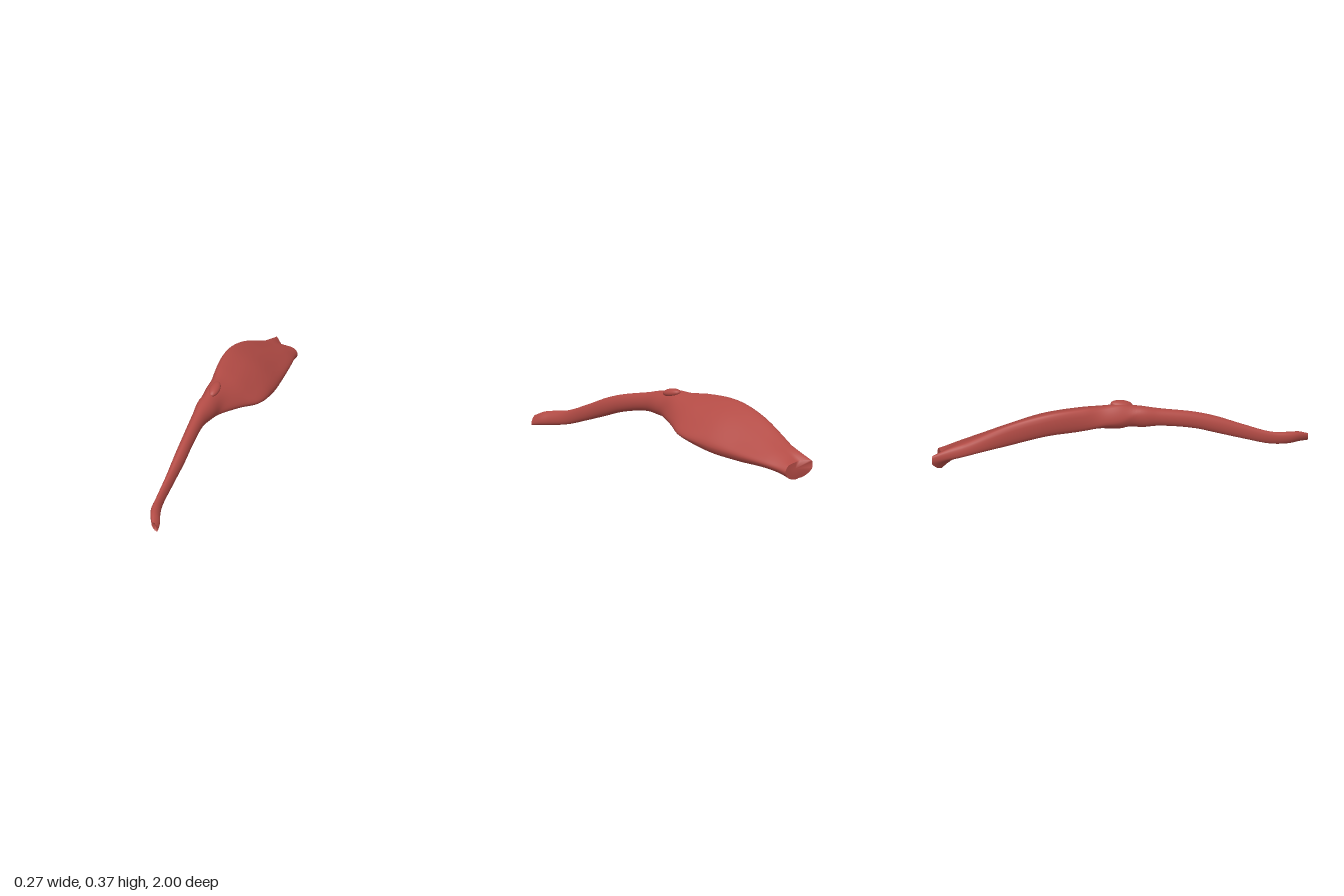
import * as THREE from 'three';

const SIDES = 42;

// Blade cross-sections: z, then x, y of the right edge, upper slope, top,
// left ridge, left heel, underside and lower lip
const BLADE = [
  [-0.94, 0.08, 0.11, 0.06, 0.14, 0.0, 0.152, -0.055, 0.16, -0.058, 0.125, -0.015, 0.062, 0.06, 0.075],
  [-0.89, 0.085, 0.12, 0.06, 0.153, 0.0, 0.18, -0.058, 0.187, -0.067, 0.14, -0.015, 0.1, 0.062, 0.09],
  [-0.80, 0.1, 0.135, 0.065, 0.175, 0.0, 0.212, -0.075, 0.23, -0.085, 0.165, -0.015, 0.132, 0.075, 0.106],
  [-0.60, 0.12, 0.155, 0.075, 0.21, -0.01, 0.278, -0.105, 0.318, -0.105, 0.21, -0.02, 0.168, 0.095, 0.116],
  [-0.40, 0.133, 0.175, 0.075, 0.255, -0.03, 0.335, -0.12, 0.365, -0.12, 0.25, -0.02, 0.202, 0.108, 0.135],
  [-0.20, 0.122, 0.195, 0.08, 0.255, -0.0, 0.328, -0.105, 0.367, -0.115, 0.255, -0.03, 0.217, 0.085, 0.175],
  [-0.10, 0.07, 0.215, 0.045, 0.275, -0.015, 0.333, -0.085, 0.358, -0.12, 0.275, -0.055, 0.22, 0.03, 0.196],
  [0.00, 0.015, 0.225, 0.005, 0.278, -0.03, 0.335, -0.078, 0.357, -0.118, 0.285, -0.085, 0.225, -0.025, 0.207],
];

// Oval tendon sections: z, centre x, centre y, half width, half thickness, tilt
const TENDON = [
  [0.10, -0.065, 0.273, 0.064, 0.047, -75],
  [0.20, -0.072, 0.261, 0.050, 0.036, -86],
  [0.40, -0.070, 0.216, 0.047, 0.030, -90],
  [0.50, -0.071, 0.181, 0.048, 0.029, -90],
  [0.65, -0.077, 0.122, 0.042, 0.022, -88],
  [0.80, -0.082, 0.068, 0.037, 0.018, -82],
  [0.90, -0.069, 0.050, 0.038, 0.023, -68],
  [0.95, -0.053, 0.042, 0.037, 0.021, -58],
  [1.00, -0.039, 0.026, 0.028, 0.012, -60],
];

// Both kinds of section become rings of SIDES points, flattened to x, y pairs
function bladeRing([, ...xy]) {
  const points = [];
  for (let i = 0; i < xy.length; i += 2) points.push(new THREE.Vector3(xy[i], xy[i + 1], 0));
  const curve = new THREE.CatmullRomCurve3(points, true);
  const ring = [];
  for (let j = 0; j < SIDES; j++) {
    const p = curve.getPoint(j / SIDES);
    ring.push(p.x, p.y);
  }
  return ring;
}

function tendonRing([, cx, cy, a, b, tilt]) {
  const r = THREE.MathUtils.degToRad(tilt);
  const ring = [];
  for (let j = 0; j < SIDES; j++) {
    const t = (j / SIDES) * Math.PI * 2;
    const u = a * Math.cos(t);
    const v = b * Math.sin(t);
    ring.push(cx + u * Math.cos(r) - v * Math.sin(r), cy + u * Math.sin(r) + v * Math.cos(r));
  }
  return ring;
}

// Lofts a closed skin through rings that are smoothly interpolated along z
function loft(zs, rings, steps) {
  const skin = new THREE.CubicInterpolant(zs, rings.flat(), SIDES * 2, new Float32Array(SIDES * 2));
  const z0 = zs[0];
  const z1 = zs[zs.length - 1];
  const pos = [];
  const index = [];

  for (let i = 0; i <= steps; i++) {
    const z = z0 + ((z1 - z0) * i) / steps;
    const ring = skin.evaluate(z);
    // The left corner of the blade's end is drawn out into a short point
    const pull = 0.06 * THREE.MathUtils.clamp((-0.84 - z) / 0.1, 0, 1);
    for (let j = 0; j < SIDES; j++) {
      const x = ring[j * 2];
      pos.push(x, ring[j * 2 + 1], z - pull * THREE.MathUtils.clamp((-0.015 - x) / 0.04, 0, 1));
    }
  }
  for (let i = 0; i < steps; i++) {
    for (let j = 0; j < SIDES; j++) {
      const n = (j + 1) % SIDES;
      const p = i * SIDES;
      const q = p + SIDES;
      index.push(p + j, p + n, q + j, p + n, q + n, q + j);
    }
  }

  // Slightly hollow end caps, with their own rim so the edge stays crisp
  for (const end of [0, steps]) {
    const rim = pos.length / 3;
    const sum = [0, 0, 0];
    for (let j = 0; j < SIDES; j++) {
      for (let d = 0; d < 3; d++) {
        const value = pos[(end * SIDES + j) * 3 + d];
        pos.push(value);
        sum[d] += value / SIDES;
      }
    }
    pos.push(sum[0], sum[1], sum[2] + (end ? -0.015 : 0.015));
    for (let j = 0; j < SIDES; j++) {
      const n = (j + 1) % SIDES;
      if (end) index.push(rim + SIDES, rim + j, rim + n);
      else index.push(rim + SIDES, rim + n, rim + j);
    }
  }

  const geometry = new THREE.BufferGeometry();
  geometry.setAttribute('position', new THREE.Float32BufferAttribute(pos, 3));
  geometry.setIndex(index);
  geometry.computeVertexNormals();
  return geometry;
}

export function createModel() {
  const group = new THREE.Group();
  group.name = 'muscle';
  const flesh = new THREE.MeshStandardMaterial({ color: 0xb24b45 });
  flesh.name = 'muscle red';

  // Broad three-cornered blade running into the narrow tendon
  const zs = [...BLADE, ...TENDON].map((section) => section[0]);
  const rings = [...BLADE.map(bladeRing), ...TENDON.map(tendonRing)];
  const body = new THREE.Mesh(loft(zs, rings, 120), flesh);
  body.name = 'bladeAndTendon';
  group.add(body);

  // Low knob where the blade meets the tendon
  const knob = new THREE.Mesh(new THREE.SphereGeometry(1, 24, 16), flesh);
  knob.name = 'knob';
  knob.scale.set(0.028, 0.022, 0.06);
  knob.position.set(-0.05, 0.346, 0.01);
  knob.rotation.x = 0.2;
  group.add(knob);

  return group;
}
